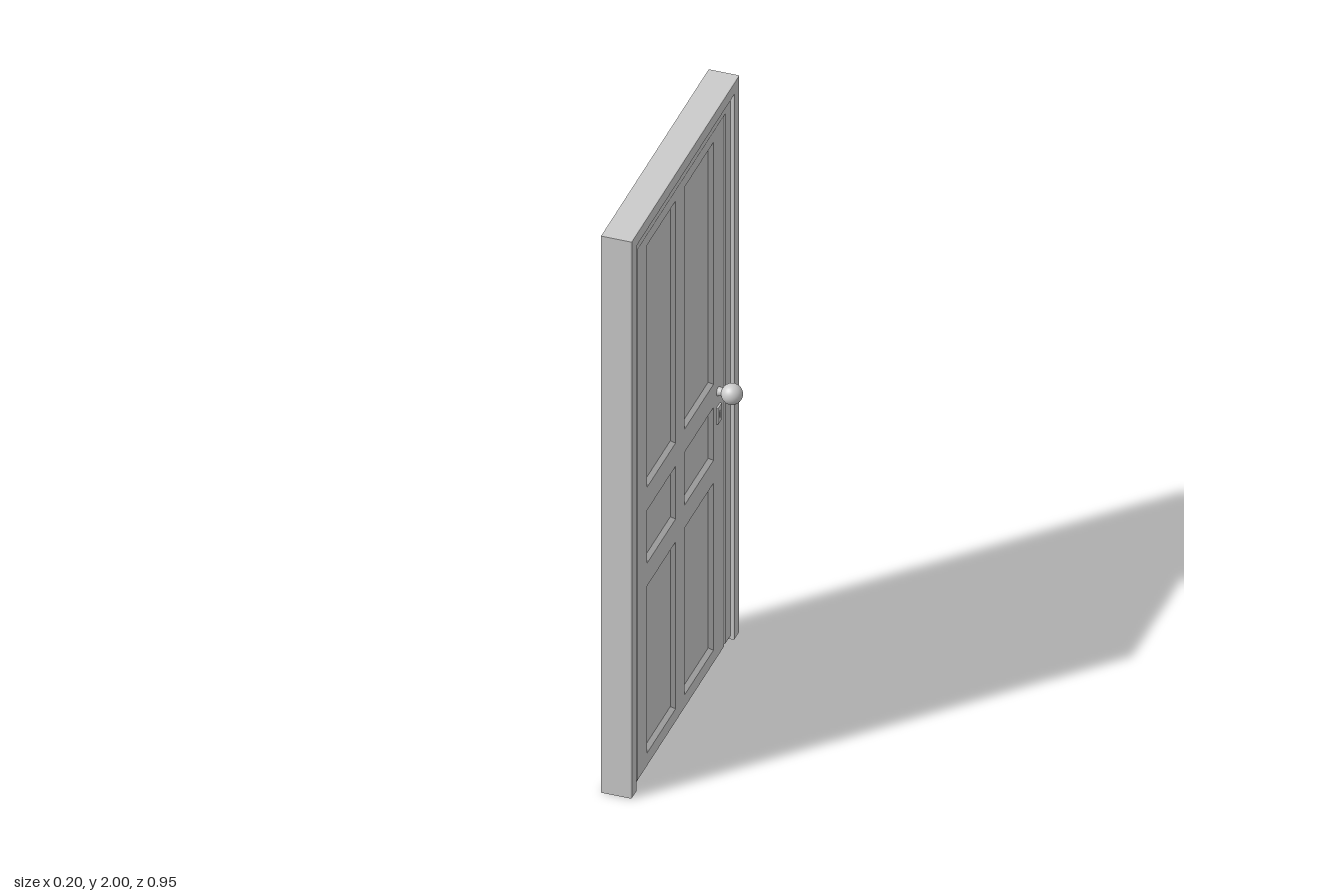
import * as THREE from 'three';

const mat = new THREE.MeshStandardMaterial({ color: 0xcccccc });

function add(parent, name, geo) {
  const mesh = new THREE.Mesh(geo, mat);
  mesh.name = name;
  parent.add(mesh);
  return mesh;
}

// rectangle path, u across the door, v upward
function rect(path, u0, v0, u1, v1) {
  path.moveTo(u0, v0);
  path.lineTo(u1, v0);
  path.lineTo(u1, v1);
  path.lineTo(u0, v1);
  path.closePath();
  return path;
}

// extrude a shape so that its depth runs along x, from x0 to x1
function extrudeX(shape, x0, x1, bevel = 0) {
  const geo = new THREE.ExtrudeGeometry(shape, {
    depth: x1 - x0 - 2 * bevel, curveSegments: 12,
    bevelEnabled: bevel > 0, bevelSize: bevel, bevelThickness: bevel,
    bevelOffset: -bevel, bevelSegments: 2,
  });
  geo.rotateY(Math.PI / 2);
  geo.translate(x0 + bevel, 0, 0);
  return geo;
}

// upside-down U: two jambs and a head
function archShape(outer, top, inner, innerTop, bottom) {
  return new THREE.Shape([
    [-outer, bottom], [-inner, bottom], [-inner, innerTop], [inner, innerTop],
    [inner, bottom], [outer, bottom], [outer, top], [-outer, top],
  ].map(([u, v]) => new THREE.Vector2(u, v)));
}

// sloped moulding around a sunk panel, facing +x
function moulding([u0, v0, u1, v1], xOut, xIn, w) {
  const out = [[u0, v0], [u1, v0], [u1, v1], [u0, v1]];
  const inn = [[u0 + w, v0 + w], [u1 - w, v0 + w], [u1 - w, v1 - w], [u0 + w, v1 - w]];
  const pos = [];
  const put = (x, [u, v]) => pos.push(x, v, -u);
  for (let i = 0; i < 4; i++) {
    const j = (i + 1) % 4;
    put(xOut, out[i]); put(xOut, out[j]); put(xIn, inn[j]);
    put(xOut, out[i]); put(xIn, inn[j]); put(xIn, inn[i]);
  }
  const geo = new THREE.BufferGeometry();
  geo.setAttribute('position', new THREE.Float32BufferAttribute(pos, 3));
  geo.computeVertexNormals();
  return geo;
}

export function createModel() {
  const model = new THREE.Group();
  model.name = 'panelDoor';

  // frame
  const frame = new THREE.Group();
  frame.name = 'doorFrame';
  model.add(frame);
  add(frame, 'outerFrame', extrudeX(archShape(0.475, 2, 0.43, 1.958, 0), -0.06, 0.04, 0.004));
  add(frame, 'doorStop', extrudeX(archShape(0.435, 1.962, 0.386, 1.914, 0.01), -0.035, 0.027, 0.003));

  // door leaf
  const faceX = 0.022, sunkX = 0.01;
  const door = new THREE.Group();
  door.name = 'doorLeaf';
  model.add(door);
  const core = add(door, 'panelCore', new THREE.BoxGeometry(2 * sunkX, 1.912, 0.77));
  core.position.y = 0.956;

  const panels = [];
  for (const [v0, v1] of [[0.045, 0.645], [0.727, 0.917], [1, 1.87]]) {
    panels.push([-0.294, v0, -0.04, v1], [0.04, v0, 0.294, v1]);
  }
  const face = rect(new THREE.Shape(), -0.385, 0, 0.385, 1.912);
  for (const p of panels) face.holes.push(rect(new THREE.Path(), ...p));

  // each side: stiles and rails, mouldings, knob and keyhole plate
  for (const [name, turn] of [['left', 0], ['right', Math.PI]]) {
    const side = new THREE.Group();
    side.name = name + 'Side';
    side.rotation.y = turn;
    door.add(side);
    add(side, 'stilesAndRails', extrudeX(face, sunkX, faceX));
    panels.forEach((p) => add(side, 'panelMoulding', moulding(p, faceX, sunkX, 0.014)));

    const z = turn ? 0.335 : -0.335;
    const knob = add(side, 'knob', new THREE.SphereGeometry(0.033, 32, 20));
    knob.position.set(0.066, 0.95, z);
    const stem = add(side, 'knobStem', new THREE.CylinderGeometry(0.012, 0.015, 0.03, 20));
    stem.rotation.z = -Math.PI / 2;
    stem.position.set(0.032, 0.95, z);

    const plate = rect(new THREE.Shape(), -0.016, -0.029, 0.016, 0.029);
    const keyhole = new THREE.Path();
    keyhole.moveTo(-0.003, -0.014);
    keyhole.lineTo(0.003, -0.014);
    keyhole.lineTo(0.003, 0.004);
    keyhole.absarc(0, 0.008, 0.005, -0.93, Math.PI + 0.93, false);
    keyhole.closePath();
    plate.holes.push(keyhole);
    add(side, 'keyholePlate', extrudeX(plate, faceX, faceX + 0.006)).position.set(0, 0.87, z);
  }
  return model;
}
